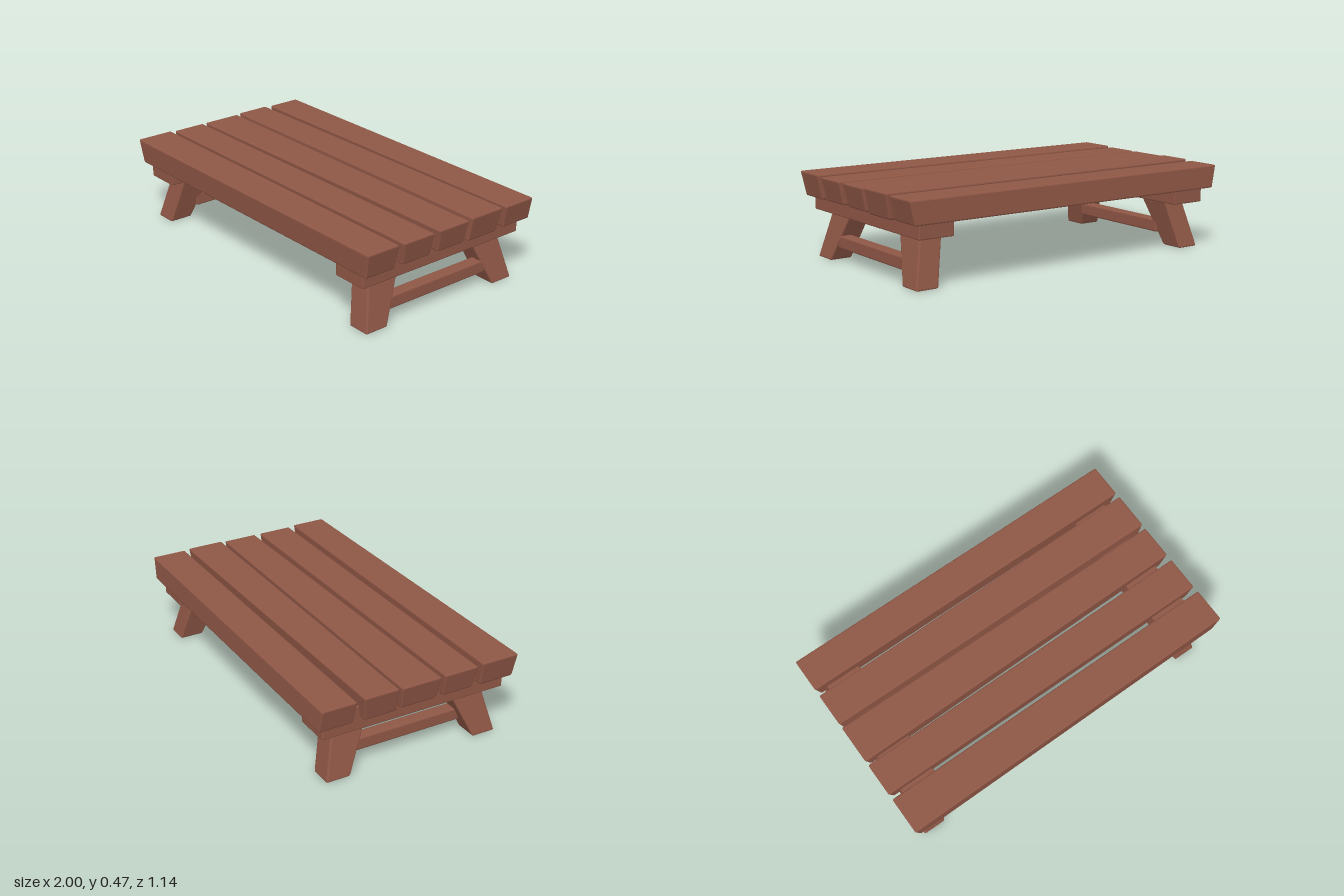
import * as THREE from 'three';
import { RoundedBoxGeometry } from 'three/addons/geometries/RoundedBoxGeometry.js';

const wood = new THREE.MeshStandardMaterial({ color: 0x8f5746, flatShading: true });
const mix = THREE.MathUtils.lerp;

// Chamfered beam: a rounded box warped by a rule taking u, v, w (0..1 along x, y, z) to a point
function beam(name, [w, h, d], bevel, rule) {
  const geo = new RoundedBoxGeometry(w, h, d, 1, bevel);
  const p = geo.attributes.position;
  for (let i = 0; i < p.count; i++) {
    p.setXYZ(i, ...rule(p.getX(i) / w + 0.5, p.getY(i) / h + 0.5, p.getZ(i) / d + 0.5));
  }
  geo.computeVertexNormals();
  const mesh = new THREE.Mesh(geo, wood);
  mesh.name = name;
  return mesh;
}

export function createModel() {
  const table = new THREE.Group();
  table.name = 'lowTable';

  // Top planks: z range at the -x end, z range at the +x end, bottom z range at the +x end, y range
  const planks = [
    [-0.57, -0.375, -0.565, -0.37, -0.57, -0.38, 0.338, 0.465],
    [-0.335, -0.14, -0.342, -0.13, -0.328, -0.128, 0.332, 0.47],
    [-0.12, 0.107, -0.105, 0.093, -0.098, 0.082, 0.338, 0.465],
    [0.13, 0.325, 0.13, 0.328, 0.135, 0.315, 0.338, 0.465],
    [0.355, 0.57, 0.362, 0.56, 0.366, 0.55, 0.335, 0.471],
  ];
  planks.forEach(([l0, l1, r0, r1, b0, b1, y0, y1], i) => {
    table.add(beam(`plank${i + 1}`, [2, 0.135, 0.2], 0.008, (u, v, w) => {
      const half = mix(0.972, 1, v);
      const back = mix(l0, r0, u) + (b0 - r0) * (1 - v);
      const front = mix(l1, r1, u) + (b1 - r1) * (1 - v);
      return [mix(-half, half, u), mix(y0, y1, v), mix(back, front, w)];
    }));
  });

  for (const sx of [-1, 1]) {
    const side = sx > 0 ? 'left' : 'right';

    // Cross beam under the planks
    table.add(beam(`${side}CrossBeam`, [0.2, 0.136, 1.065], 0.006, (u, v, w) => [
      sx * 0.828 + mix(-0.102, 0.102, u),
      mix(0.258, 0.394, v),
      mix(-0.532, 0.532, w),
    ]));

    // Splayed legs, wider at the top
    for (const sz of [-1, 1]) {
      const name = `${side}${sz > 0 ? 'Front' : 'Back'}Leg`;
      table.add(beam(name, [0.13, 0.27, 0.16], 0.008, (u, v, w) => [
        sx * mix(0.866, 0.803, v) + mix(-0.063, 0.065, u),
        mix(0, 0.268, v),
        sz * mix(0.437, 0.344, v) + mix(-1, 1, w) * mix(0.067, 0.096, v),
      ]));
    }

    // Stretcher between each pair of legs
    table.add(beam(`${side}Stretcher`, [0.07, 0.07, 0.68], 0.008, (u, v, w) => [
      sx * 0.835 + 0.03 + mix(-0.035, 0.035, u),
      mix(0.07, 0.14, v),
      mix(-0.338, 0.342, w),
    ]));
  }
  return table;
}
